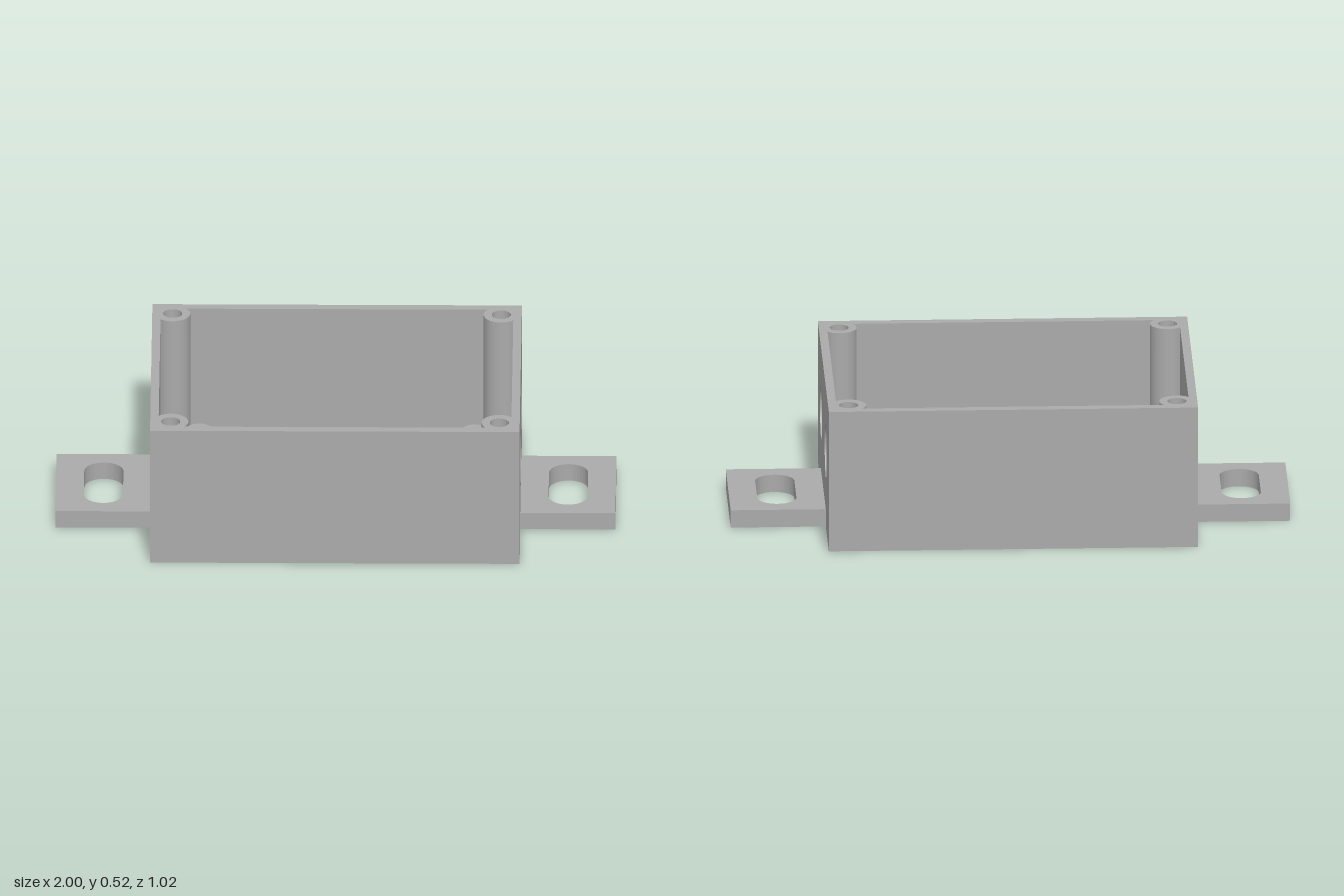
import * as THREE from 'three';
import { toCreasedNormals } from 'three/addons/utils/BufferGeometryUtils.js';

const HX = 0.66, HZ = 0.51, H = 0.525;      // outer half sizes and height
const IX = 0.63, IZ = 0.475, FLOOR = 0.037; // inner half sizes and floor
const PX = 0.587, PZ = 0.435, PR = 0.063;   // corner screw posts

export function createModel() {
  const group = new THREE.Group();
  group.name = 'enclosure';
  const grey = new THREE.MeshStandardMaterial({ color: 0xaaaaaa });
  grey.name = 'grey plastic';

  const add = (name, geometry) => {
    const mesh = new THREE.Mesh(geometry, grey);
    mesh.name = name;
    group.add(mesh);
    return mesh;
  };
  const extrude = (shape, depth) => toCreasedNormals(
    new THREE.ExtrudeGeometry(shape, { depth, bevelEnabled: false, curveSegments: 32 }), 0.6);
  const extrudeUp = (shape, height) => extrude(shape, height).rotateX(-Math.PI / 2);
  const rect = (x0, y0, x1, y1) => new THREE.Shape([
    new THREE.Vector2(x0, y0), new THREE.Vector2(x1, y0),
    new THREE.Vector2(x1, y1), new THREE.Vector2(x0, y1)]);
  const circle = (x, y, r) => new THREE.Path().absarc(x, y, r, 0, Math.PI * 2, true);

  // Walls with the corner posts grown into them, open on the drilled side
  const a = Math.acos((IX - PX) / PR);                // post meets side wall
  const b = Math.PI + Math.asin((IZ - PZ) / PR);      // post meets front/back wall
  const gap = PZ - PR * Math.sin(a);
  const walls = new THREE.Shape();
  walls.moveTo(HX, gap);
  for (const [x, z] of [[HX, HZ], [-HX, HZ], [-HX, -HZ], [HX, -HZ], [HX, -gap]]) walls.lineTo(x, z);
  walls.lineTo(IX, -gap);
  walls.absarc(PX, -PZ, PR, a, b, false);
  walls.absarc(-PX, -PZ, PR, Math.PI - b, Math.PI - a, false);
  walls.absarc(-PX, PZ, PR, a + Math.PI, b + Math.PI, false);
  walls.absarc(PX, PZ, PR, 2 * Math.PI - b, 2 * Math.PI - a, false);
  for (const sx of [-1, 1]) for (const sz of [-1, 1]) walls.holes.push(circle(sx * PX, sz * PZ, 0.034));
  add('wallsAndScrewPosts', extrudeUp(walls, H));

  // Left wall panel with two cable holes
  const panel = rect(-gap, 0, gap, H);
  for (const s of [-1, 1]) panel.holes.push(circle(s * 0.215, 0.28, 0.097));
  add('cableHolePanel', extrude(panel, HX - IX).rotateY(Math.PI / 2).translate(IX, 0, 0));

  // Floor
  add('floor', new THREE.BoxGeometry(IX * 2, FLOOR, IZ * 2).translate(0, FLOOR / 2, 0));

  // Board standoffs
  const ring = new THREE.Shape().absarc(0, 0, 0.045, 0, Math.PI * 2, false);
  ring.holes.push(circle(0, 0, 0.021));
  const standoff = extrudeUp(ring, 0.113 - FLOOR);
  for (const sx of [-1, 1]) for (const sz of [-1, 1])
    add('standoff', standoff).position.set(sx * 0.492, FLOOR, sz * 0.338);

  // Slotted mounting tabs
  const tab = rect(-0.17, -0.23, 0.17, 0.23);
  const slot = new THREE.Path();
  slot.absarc(0, 0.093, 0.07, 0, Math.PI, false);
  slot.absarc(0, -0.093, 0.07, Math.PI, Math.PI * 2, false);
  slot.closePath();
  tab.holes.push(slot);
  const tabGeometry = extrudeUp(tab, 0.065);
  for (const s of [-1, 1]) add(s > 0 ? 'leftTab' : 'rightTab', tabGeometry).position.x = s * 0.83;

  return group;
}
